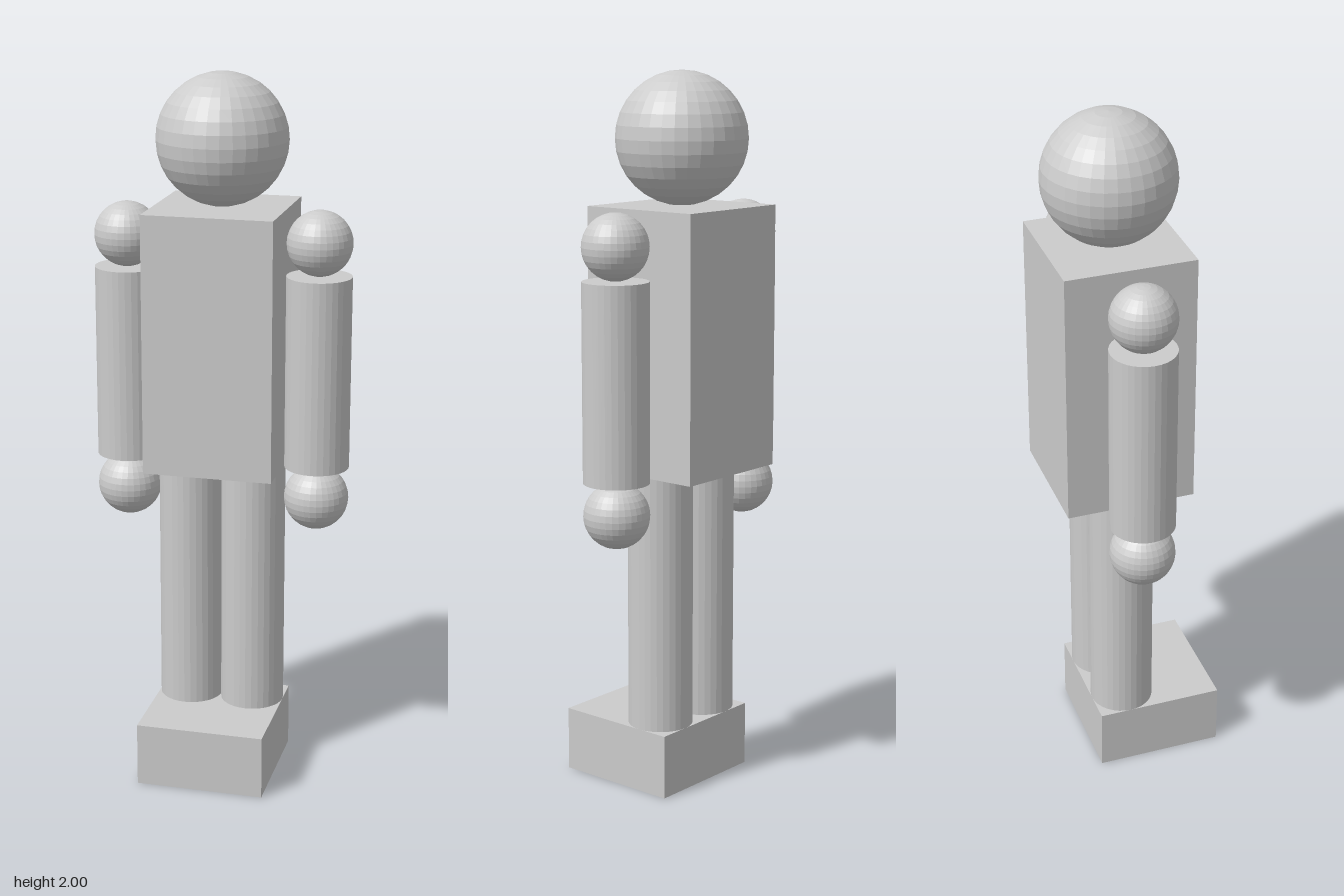
import * as THREE from 'three';

export function createModel() {
  const model = new THREE.Group();
  const material = new THREE.MeshStandardMaterial({ color: 0xcccccc, flatShading: true });

  const U = 2 / 11;     // building unit: the figure is 11 units tall
  const R = U / 2;      // limb radius
  const Z = -U / 4;     // depth of the body axis

  function add(parent, name, geometry, x, y, z = Z) {
    const mesh = new THREE.Mesh(geometry, material);
    mesh.name = name;
    mesh.position.set(x, y, z);
    parent.add(mesh);
  }

  // Head and torso
  add(model, 'head', new THREE.SphereGeometry(U, 32, 16), 0, 10 * U);
  add(model, 'torso', new THREE.BoxGeometry(2 * U, 4 * U, 2 * U), 0, 7 * U);

  const ball = new THREE.SphereGeometry(R, 32, 16);
  const armTube = new THREE.CylinderGeometry(R, R, 3 * U, 32);
  const legTube = new THREE.CylinderGeometry(R, R, 4 * U, 32);
  const footBox = new THREE.BoxGeometry(U, U, 2 * U);

  // Mirrored limbs
  for (const [side, s] of [['left', 1], ['right', -1]]) {
    const arm = new THREE.Group();
    arm.name = side + 'Arm';
    add(arm, side + 'Shoulder', ball, s * 1.5 * U, 8.5 * U);
    add(arm, side + 'ArmTube', armTube, s * 1.5 * U, 6.5 * U);
    add(arm, side + 'Hand', ball, s * 1.5 * U, 4.5 * U);

    const leg = new THREE.Group();
    leg.name = side + 'Leg';
    add(leg, side + 'LegTube', legTube, s * R, 3 * U);
    add(leg, side + 'Foot', footBox, s * R, R, U / 4);

    model.add(arm, leg);
  }

  return model;
}
